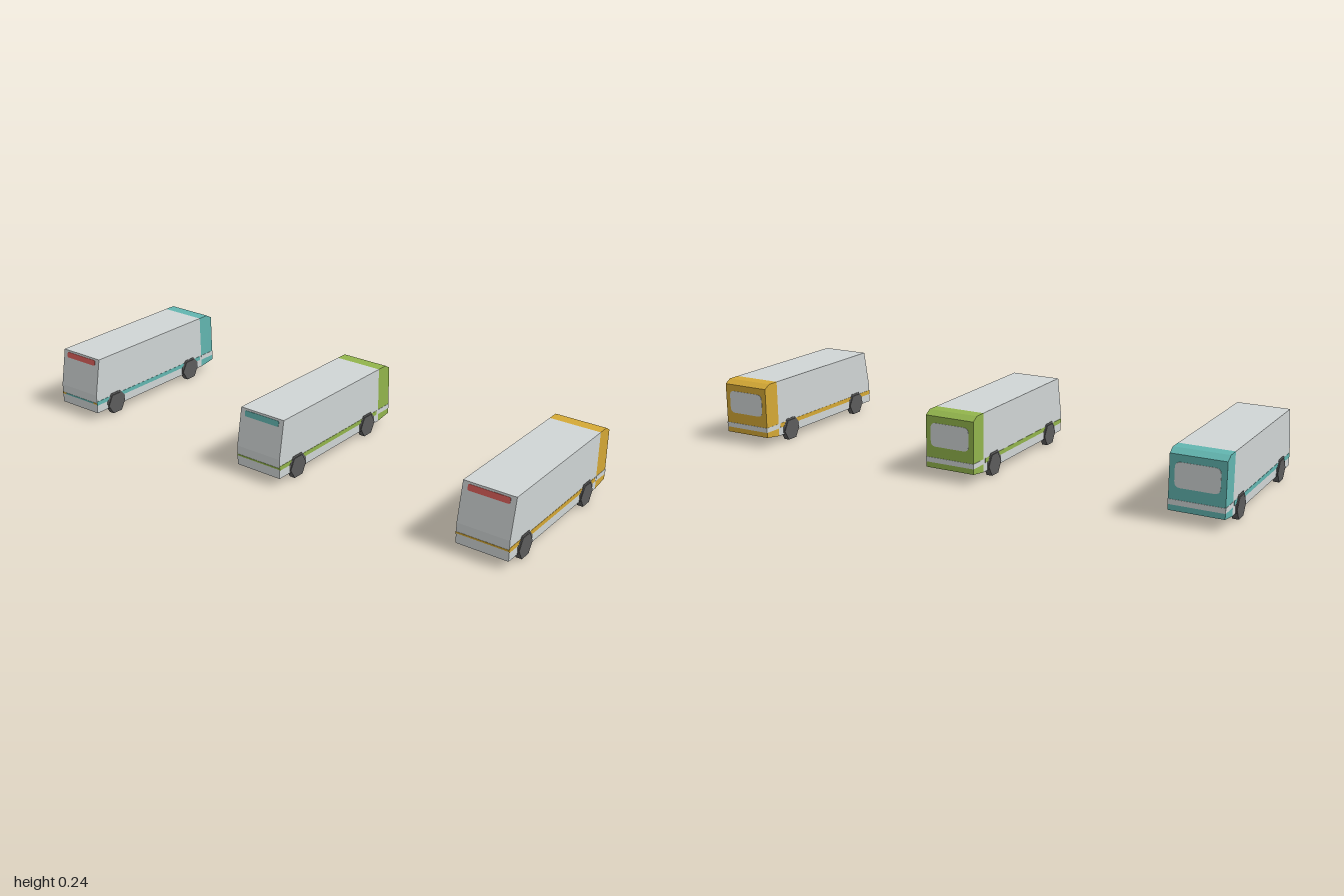
import * as THREE from 'three';

const mat = (name, color) => {
  const m = new THREE.MeshStandardMaterial({ color });
  m.name = name;
  return m;
};

export function createModel() {
  const grey = mat('body grey', 0xd0d5d5);
  const dark = mat('tyre dark', 0x5c5c5c);
  const teal = mat('teal', 0x62b5b0);
  const green = mat('green', 0x92b44c);
  const orange = mat('orange', 0xd4a835);
  const red = mat('red', 0xdc5f5a);
  const HALF = 0.095;

  const add = (parent, name, geo, material, x = 0, y = 0, z = 0) => {
    const m = new THREE.Mesh(geo, material);
    m.name = name;
    m.position.set(x, y, z);
    parent.add(m);
    return m;
  };

  // Side outline of (z, y) points, extruded across the bus
  const across = (points, width) => {
    const shape = new THREE.Shape(points.map(p => new THREE.Vector2(...p)));
    return new THREE.ExtrudeGeometry(shape, { depth: width, bevelEnabled: false })
      .translate(0, 0, -width / 2).rotateY(-Math.PI / 2);
  };

  // Thin plate with rounded corners, facing +z
  const plate = (w, h, r, t) => {
    const s = new THREE.Shape();
    const a = w / 2, b = h / 2;
    s.moveTo(-a + r, -b);
    s.lineTo(a - r, -b).quadraticCurveTo(a, -b, a, -b + r);
    s.lineTo(a, b - r).quadraticCurveTo(a, b, a - r, b);
    s.lineTo(-a + r, b).quadraticCurveTo(-a, b, -a, b - r);
    s.lineTo(-a, -b + r).quadraticCurveTo(-a, -b, -a + r, -b);
    return new THREE.ExtrudeGeometry(s, { depth: t, bevelEnabled: false, curveSegments: 4 })
      .translate(0, 0, -t / 2);
  };

  const bodyGeo = across([[0.333, 0.027], [0.333, 0.1], [0.306, 0.24], [-0.263, 0.24], [-0.263, 0.027]], 2 * HALF);
  const rearGeo = across([[-0.263, 0.027], [-0.263, 0.24], [-0.307, 0.24], [-0.332, 0.225], [-0.332, 0.037]], 2 * HALF);
  const archGeo = across([[-0.046, 0.027], [-0.046, 0.056], [-0.024, 0.083], [0.024, 0.083], [0.046, 0.056], [0.046, 0.027]], 0.003);
  const wheelGeo = new THREE.CylinderGeometry(0.0436, 0.0436, 0.022, 6).rotateZ(Math.PI / 2);
  const boardGeo = plate(0.15, 0.021, 0.006, 0.003);
  const windowGeo = plate(0.152, 0.085, 0.02, 0.002);

  const makeBus = (name, x, accent, board, trimEnds) => {
    const bus = new THREE.Group();
    bus.name = name;
    bus.position.x = x;
    add(bus, 'body', bodyGeo, grey);
    add(bus, 'rearPanel', rearGeo, accent);

    // Front: route board on the sloping windscreen and a fine trim line
    add(bus, 'routeBoard', boardGeo, board, 0, 0.2225, 0.3096).rotation.x = -0.19;
    add(bus, 'frontTrim', new THREE.BoxGeometry(0.15, 0.006, 0.002), accent, 0, 0.065, 0.333);

    // Rear: window and pale band wrapping the coloured panel
    add(bus, 'rearWindow', windowGeo, grey, 0, 0.158, -0.3322);
    add(bus, 'rearBand', new THREE.BoxGeometry(2 * HALF + 0.002, 0.018, 0.0705), grey, 0, 0.066, -0.2982);

    for (const s of [-1, 1]) {
      add(bus, 'frontTrimEnd', new THREE.BoxGeometry(0.02, 0.006, 0.002), trimEnds, s * 0.085, 0.065, 0.333);
      add(bus, 'sideStripe', new THREE.BoxGeometry(0.002, 0.016, 0.586), accent, s * HALF, 0.0665, 0.04);
      // Wheels and arches
      for (const z of [0.233, -0.19]) {
        add(bus, 'wheelArch', archGeo, dark, s * HALF, 0, z);
        add(bus, 'wheel', wheelGeo, dark, s * 0.089, 0.0378, z);
      }
    }
    return bus;
  };

  const model = new THREE.Group();
  model.name = 'busFleet';
  model.add(
    makeBus('tealBus', -0.9, teal, red, orange),
    makeBus('greenBus', 0, green, teal, green),
    makeBus('orangeBus', 0.9, orange, red, orange)
  );
  return model;
}
